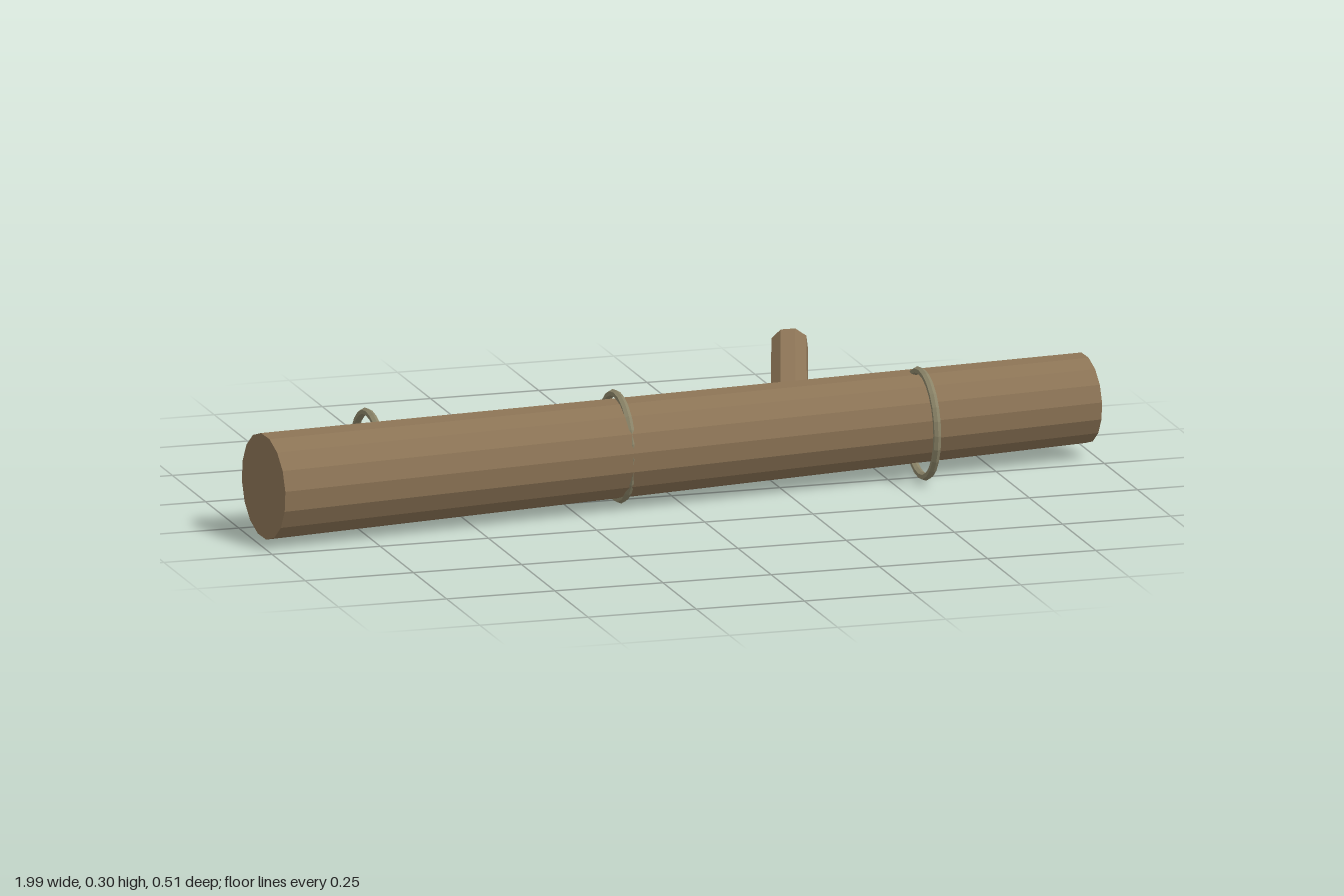
import * as THREE from 'three';

const bark = new THREE.MeshStandardMaterial({ color: 0x8b7355, flatShading: true });
bark.name = 'bark brown';
const vine = new THREE.MeshStandardMaterial({ color: 0x8b8468, flatShading: true });
vine.name = 'vine grey';

// Tapered cylinder running from one point to another
function limb(name, from, to, rFrom, rTo, sides) {
  const a = new THREE.Vector3(...from), b = new THREE.Vector3(...to);
  const dir = b.clone().sub(a);
  const mesh = new THREE.Mesh(new THREE.CylinderGeometry(rTo, rFrom, dir.length(), sides), bark);
  mesh.name = name;
  mesh.position.copy(a).add(b).multiplyScalar(0.5);
  mesh.quaternion.setFromUnitVectors(new THREE.Vector3(0, 1, 0), dir.normalize());
  return mesh;
}

export function createModel() {
  const group = new THREE.Group();
  group.name = 'fallenLog';

  // Trunk lying slightly askew, with a broken branch stub
  group.add(limb('trunk', [-0.985, 0.129, 0.138], [0.983, 0.129, -0.1], 0.119, 0.101, 16));
  group.add(limb('branchStub', [0.278, 0.167, -0.018], [0.345, 0.269, -0.235], 0.044, 0.042, 8));

  // Upright vine rings in a straight row along x
  const ringGeometry = new THREE.TorusGeometry(0.118, 0.009, 6, 24);
  [-0.705, -0.132, 0.572].forEach((x, i) => {
    const ring = new THREE.Mesh(ringGeometry, vine);
    ring.name = `vineRing${i + 1}`;
    ring.position.set(x, 0.129, 0.019);
    ring.rotation.y = Math.PI / 2;
    group.add(ring);
  });

  return group;
}
